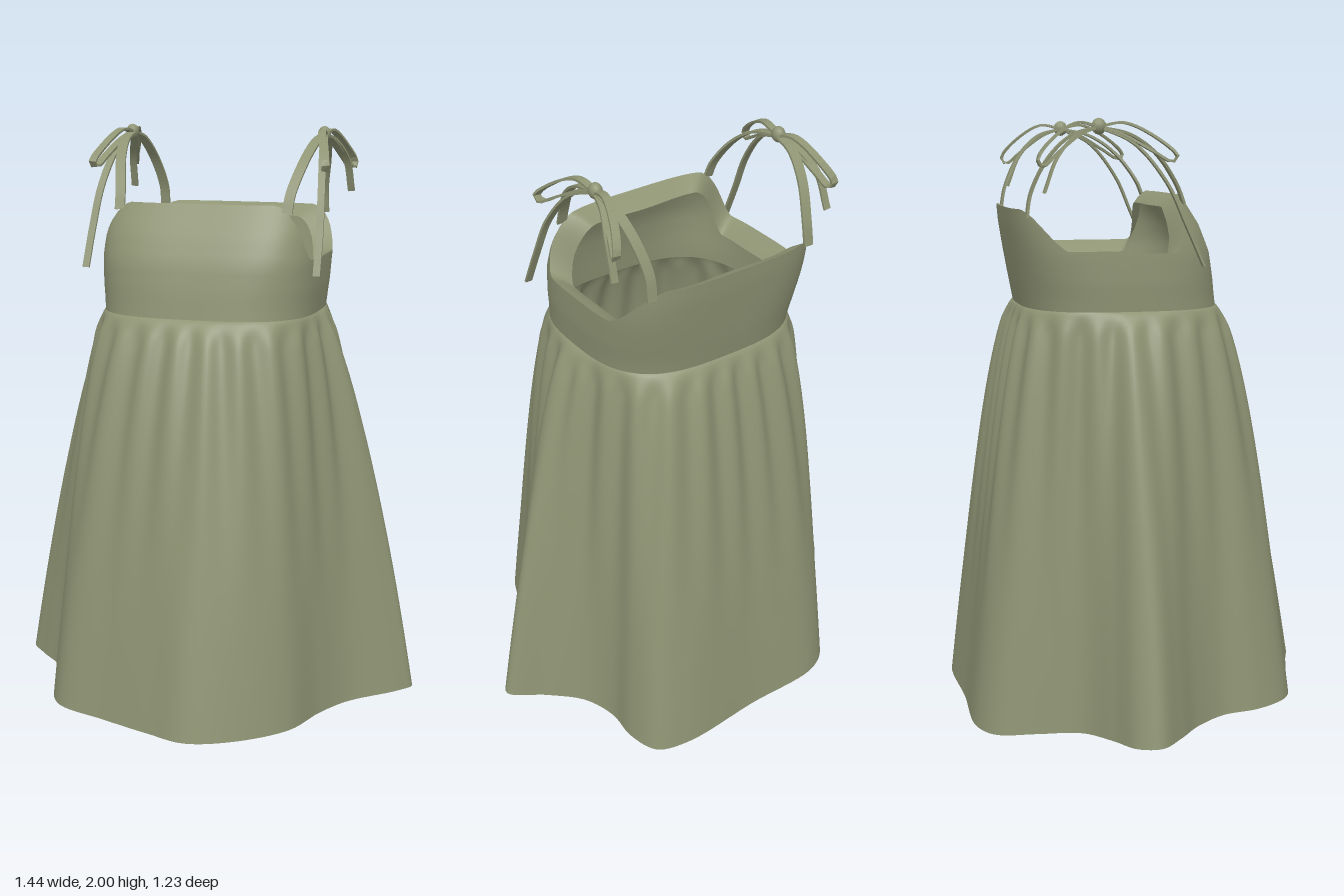
import * as THREE from 'three';

const fabric = new THREE.MeshStandardMaterial({ color: 0x8f9474, side: THREE.DoubleSide });
fabric.name = 'olive fabric';

const { lerp, smoothstep } = THREE.MathUtils;
const V = (x, y, z) => new THREE.Vector3(x, y, z);
const WAIST = 1.39;
const SEGMENTS = 144;

// Skin a list of closed rings, each an array of points
function loft(name, rings, flat = false) {
  const n = rings[0].length;
  const index = [];
  for (let i = 0; i < rings.length - 1; i++) {
    for (let j = 0; j < n; j++) {
      const k = (j + 1) % n;
      const a = i * n + j, b = i * n + k, c = a + n, d = b + n;
      index.push(a, c, b, b, c, d);
    }
  }
  let geometry = new THREE.BufferGeometry().setFromPoints(rings.flat());
  geometry.setIndex(index);
  if (flat) geometry = geometry.toNonIndexed();
  geometry.computeVertexNormals();
  const mesh = new THREE.Mesh(geometry, fabric);
  mesh.name = name;
  return mesh;
}

// Bodice section: [height, half width, front z, back z]
const sections = [
  [1.38, 0.365, 0.265, -0.395],
  [1.48, 0.372, 0.25, -0.412],
  [1.57, 0.372, 0.23, -0.425],
  [1.66, 0.365, 0.19, -0.437],
  [1.76, 0.355, 0.125, -0.445],
];

// Point on the rounded-square section at a height, in a given direction
function bodicePoint(angle, y, inset = 0) {
  let i = 0;
  while (i < sections.length - 2 && y > sections[i + 1][0]) i++;
  const [p, q] = [sections[i], sections[i + 1]];
  const t = (y - p[0]) / (q[0] - p[0]);
  const [hx, front, back] = [1, 2, 3].map((k) => lerp(p[k], q[k], t));
  const hz = (front - back) / 2;
  const c = Math.cos(angle), s = Math.sin(angle);
  const power = lerp(3, 4, smoothstep(y, 1.4, 1.7));
  const r = Math.pow(Math.pow(Math.abs(c) / hx, power) + Math.pow(Math.abs(s) / hz, power), -1 / power) - inset;
  return V(r * c, y, r * s + (front + back) / 2);
}

// Upper edge: high front and back, scooped out under the arms
function edgeHeight(angle) {
  const s = Math.sin(angle);
  return lerp(1.575, s > 0 ? 1.755 : 1.715, smoothstep(Math.abs(s), 0.4, 0.74));
}

function makeBodice() {
  const angles = Array.from({ length: SEGMENTS }, (_, j) => (j / SEGMENTS) * Math.PI * 2);
  const rows = [];
  for (let i = 0; i <= 12; i++) {
    rows.push(angles.map((a) => bodicePoint(a, lerp(1.38, edgeHeight(a), i / 12))));
  }
  // Facing folded inwards from the upper edge
  const facing = [[0, 0], [0.035, 0.015], [0.07, 0.04]].map(([inset, drop]) =>
    angles.map((a) => {
      const p = bodicePoint(a, edgeHeight(a), inset);
      p.y -= drop;
      return p;
    }));
  return [loft('bodice', rows), loft('necklineFacing', facing)];
}

// Wavy hem outline as [x, z]
const hemOutline = [
  [0.72, -0.09], [0.68, -0.03], [0.53, 0.1], [0.455, 0.23], [0.39, 0.41], [0.24, 0.55], [0.09, 0.61],
  [-0.05, 0.57], [-0.23, 0.51], [-0.41, 0.45], [-0.48, 0.33], [-0.49, 0.21], [-0.56, 0.1], [-0.65, 0.02],
  [-0.72, -0.06], [-0.69, -0.13], [-0.58, -0.19], [-0.47, -0.27], [-0.42, -0.41], [-0.38, -0.53],
  [-0.29, -0.59], [0, -0.6], [0.3, -0.615], [0.41, -0.58], [0.45, -0.48], [0.45, -0.37], [0.495, -0.26],
  [0.6, -0.17],
];

function makeSkirt() {
  const curve = new THREE.CatmullRomCurve3(hemOutline.map(([x, z]) => V(x, 0, z)), true);
  const hem = curve.getSpacedPoints(SEGMENTS * 2).slice(0, -1);
  for (const p of hem) p.y = Math.max(0, 0.025 + 0.035 * p.z / 0.6 + 0.03 * Math.pow(Math.abs(p.x) / 0.72, 2));

  const rings = [];
  for (let i = 0; i <= 40; i++) {
    const t = Math.pow(1 - i / 40, 1.6);
    const flare = Math.pow(t, 0.65);
    rings.push(hem.map((h) => {
      const angle = Math.atan2(h.z + 0.065, h.x);
      const p = bodicePoint(angle, WAIST);
      // Soft gathers that fade towards the hem
      const gather = 0.01 * Math.sin(angle * 24) * smoothstep(t, 0, 0.06) * (1 - smoothstep(t, 0.1, 0.8));
      return V(
        lerp(p.x, h.x, flare) + gather * Math.cos(angle),
        lerp(WAIST, h.y, t),
        lerp(p.z, h.z, flare) + gather * Math.sin(angle),
      );
    }));
  }
  const centre = hem.map(() => V(0, 0.035, -0.06));
  return [loft('skirt', rings), loft('skirtUnderside', [centre, hem])];
}

// Flat ribbon of rectangular section along a smooth path
function ribbon(name, points, width = 0.026, thickness = 0.008) {
  const curve = new THREE.CatmullRomCurve3(points.map((p) => V(...p)));
  const steps = 28;
  const rings = [];
  for (let i = 0; i <= steps; i++) {
    const p = curve.getPointAt(i / steps);
    const tangent = curve.getTangentAt(i / steps);
    const normal = V(1, 0, 0).cross(tangent).normalize();
    const side = tangent.clone().cross(normal);
    rings.push([[1, 1], [-1, 1], [-1, -1], [1, -1]].map(([a, b]) =>
      p.clone().addScaledVector(side, a * width / 2).addScaledVector(normal, b * thickness / 2)));
  }
  return loft(name, rings, true);
}

// Shoulder strap tied in a bow; s is the side
function makeStrap(s, name) {
  const group = new THREE.Group();
  group.name = name;
  const path = (list) => list.map(([x, y, z]) => [s * x, y, z]);
  const knotPoint = [0.345, 1.972, -0.18];

  group.add(
    ribbon('frontStrap', path([[0.29, 1.73, 0.11], [0.295, 1.79, 0.085], [0.32, 1.89, 0.01], [0.337, 1.95, -0.08], knotPoint]), 0.034),
    ribbon('backStrap', path([[0.3, 1.69, -0.405], [0.3, 1.77, -0.39], [0.32, 1.88, -0.335], [0.337, 1.95, -0.26], knotPoint]), 0.034),
    ribbon('frontLoop', path([knotPoint, [0.355, 1.985, -0.1], [0.385, 1.93, 0.01], [0.405, 1.88, 0.06], [0.4, 1.865, 0.045],
      [0.385, 1.9, -0.02], [0.36, 1.95, -0.11], knotPoint])),
    ribbon('backLoop', path([knotPoint, [0.355, 1.985, -0.25], [0.385, 1.93, -0.34], [0.41, 1.87, -0.385], [0.405, 1.85, -0.37],
      [0.385, 1.89, -0.32], [0.36, 1.95, -0.24], knotPoint])),
    ribbon('frontTail', path([knotPoint, [0.365, 1.92, -0.07], [0.385, 1.8, 0.03], [0.395, 1.67, 0.09], [0.4, 1.535, 0.15]]), 0.024),
    ribbon('backTail', path([knotPoint, [0.365, 1.95, -0.25], [0.395, 1.88, -0.32], [0.405, 1.77, -0.365]]), 0.024),
  );

  // Small rounded knot
  const knot = new THREE.Mesh(new THREE.SphereGeometry(1, 12, 8), fabric);
  knot.name = 'knot';
  knot.scale.set(0.022, 0.026, 0.024);
  knot.position.set(s * knotPoint[0], 1.974, knotPoint[2]);
  group.add(knot);
  return group;
}

export function createModel() {
  const model = new THREE.Group();
  model.name = 'tieStrapDress';
  model.add(...makeBodice(), ...makeSkirt(), makeStrap(1, 'leftStrap'), makeStrap(-1, 'rightStrap'));
  return model;
}
